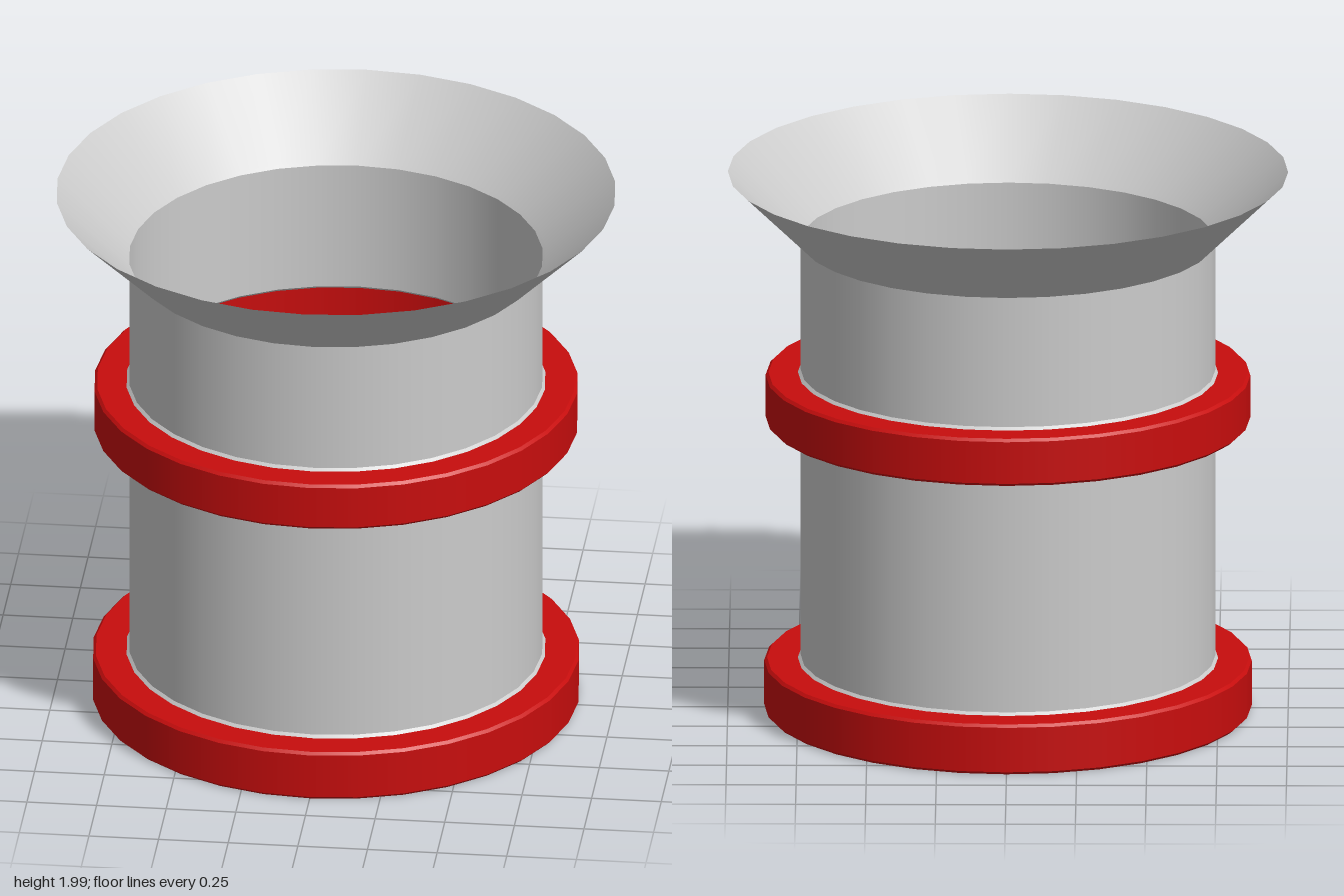
import * as THREE from 'three';
import { mergeGeometries } from 'three/addons/utils/BufferGeometryUtils.js';

const SIDES = 32;

// Revolves a profile of [radius, height] points: round around, crisp at every profile corner
function revolve(name, profile, color) {
  const rings = [];
  for (let i = 0; i < profile.length - 1; i++) {
    const pair = [profile[i], profile[i + 1]].map(([r, y]) => new THREE.Vector2(r, y));
    rings.push(new THREE.LatheGeometry(pair, SIDES));
  }
  const mesh = new THREE.Mesh(
    mergeGeometries(rings),
    new THREE.MeshStandardMaterial({ color, side: THREE.DoubleSide })
  );
  mesh.name = name;
  return mesh;
}

const TUBE = 0.74;
const LIP = 0.75;
const BEVEL = 0.01;

// Thin tube section whose ends turn out slightly
function tube(name, y0, y1) {
  return revolve(name, [[LIP, y0], [TUBE, y0 + BEVEL], [TUBE, y1 - BEVEL], [LIP, y1]], 0xcccccc);
}

// Hollow band, open towards the inside of the tube, with bevelled outer edges
function band(name, r, y0, y1) {
  return revolve(name, [
    [LIP - 0.005, y0], [r - BEVEL, y0], [r, y0 + BEVEL],
    [r, y1 - BEVEL], [r - BEVEL, y1], [LIP, y1],
  ], 0xc80d0d);
}

export function createModel() {
  const group = new THREE.Group();
  group.name = 'flaredPipe';
  group.add(
    band('baseBand', 0.87, 0, 0.185),
    tube('lowerTube', 0.185, 1.07),
    band('middleBand', 0.865, 1.07, 1.245),
    tube('upperTube', 1.245, 1.745),
    // Thin open funnel at the top
    revolve('flaredRim', [[LIP, 1.745], [1, 1.99]], 0xcccccc)
  );
  return group;
}
